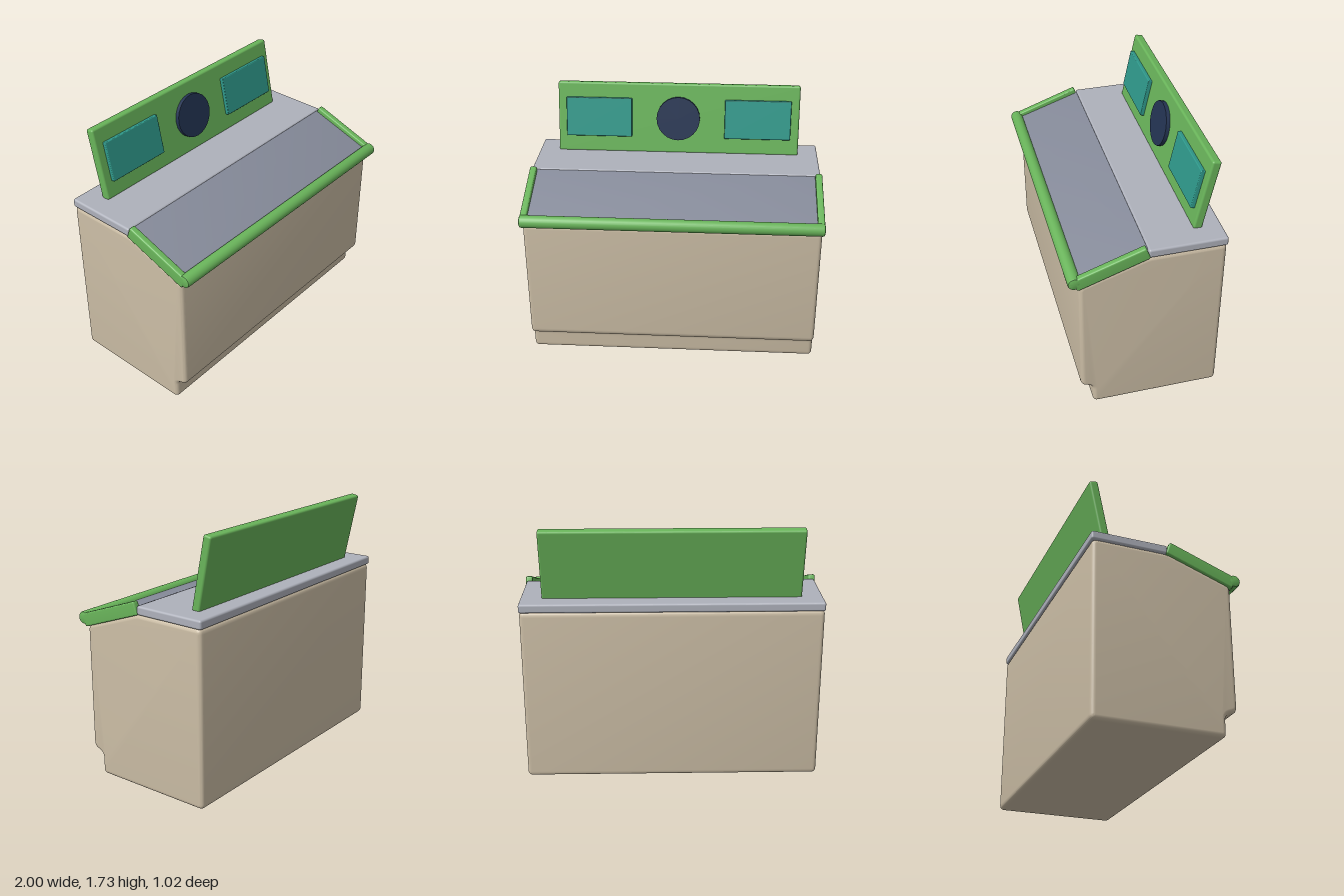
import * as THREE from 'three';
import { toCreasedNormals } from 'three/addons/utils/BufferGeometryUtils.js';
import { RoundedBoxGeometry } from 'three/addons/geometries/RoundedBoxGeometry.js';

const material = (name, color) => {
  const m = new THREE.MeshStandardMaterial({ color });
  m.name = name;
  return m;
};

// Side profile of [z, y] corners, rounded by r and extruded across x with soft edges
function prism(corners, width, r) {
  const pts = corners.map(([z, y]) => new THREE.Vector2(z, y));
  const shape = new THREE.Shape();
  pts.forEach((p, i) => {
    const prev = pts[(i + pts.length - 1) % pts.length];
    const next = pts[(i + 1) % pts.length];
    const a = p.clone().add(prev.clone().sub(p).setLength(r));
    const b = p.clone().add(next.clone().sub(p).setLength(r));
    if (i === 0) shape.moveTo(a.x, a.y);
    else shape.lineTo(a.x, a.y);
    shape.quadraticCurveTo(p.x, p.y, b.x, b.y);
  });
  shape.closePath();
  const bevel = r * 0.8;
  const depth = width - 2 * bevel;
  const geo = new THREE.ExtrudeGeometry(shape, {
    depth, curveSegments: 6, bevelEnabled: true, bevelSegments: 6,
    bevelSize: bevel, bevelThickness: bevel, bevelOffset: -bevel,
  });
  geo.translate(0, 0, -depth / 2);
  geo.rotateY(-Math.PI / 2);
  return toCreasedNormals(geo, 0.32);
}

export function createModel() {
  const root = new THREE.Group();
  root.name = 'controlConsole';
  const beige = material('beige', 0xcbbda5);
  const lightGrey = material('lightGrey', 0xaeb1bb);
  const slate = material('slate', 0x858a99);
  const green = material('green', 0x69b45a);
  const teal = material('teal', 0x2f998b);
  const navy = material('navy', 0x233352);

  const add = (parent, name, geo, mat, x = 0, y = 0, z = 0) => {
    const mesh = new THREE.Mesh(geo, mat);
    mesh.name = name;
    mesh.position.set(x, y, z);
    parent.add(mesh);
    return mesh;
  };

  // Cabinet with a toe recess and a sloping front top
  add(root, 'cabinet', prism([
    [-0.505, 0], [0.357, 0], [0.357, 0.15], [0.437, 0.175],
    [0.437, 1.04], [0, 1.192], [-0.505, 1.192],
  ], 1.98, 0.036), beige);

  // Flat worktop behind the sloping panel
  add(root, 'worktop', new RoundedBoxGeometry(1.985, 0.06, 0.51, 3, 0.014), lightGrey, 0, 1.218, -0.255);
  add(root, 'slopedPanel', prism([
    [0, 1.185], [0.45, 1.03], [0.465, 1.085], [0, 1.244],
  ], 1.92, 0.006), slate);

  // Side rails and rounded front bar framing the panel
  const railGeo = prism([
    [-0.012, 1.19], [0.447, 1.025], [0.479, 1.108], [0.018, 1.274],
  ], 0.046, 0.014);
  for (const [side, name] of [[1, 'leftRail'], [-1, 'rightRail']]) {
    add(root, name, railGeo, green, side * 0.977);
  }
  const barProfile = [
    [0, -1], [0.03, -1], [0.039, -0.996], [0.042, -0.986],
    [0.042, 0.986], [0.039, 0.996], [0.03, 1], [0, 1],
  ].map(([r, y]) => new THREE.Vector2(r, y));
  const barGeo = toCreasedNormals(new THREE.LatheGeometry(barProfile, 24), 0.6);
  barGeo.rotateZ(Math.PI / 2);
  add(root, 'frontBar', barGeo, green, 0, 1.083, 0.465);

  // Leaning display board
  const board = new THREE.Group();
  board.name = 'displayBoard';
  board.position.set(0, 1.25, -0.355);
  board.rotation.x = -0.2;
  root.add(board);
  add(board, 'backboard', new RoundedBoxGeometry(1.705, 0.495, 0.06, 3, 0.014), green, 0, 0.235, 0);
  for (const [side, name] of [[1, 'leftScreen'], [-1, 'rightScreen']]) {
    add(board, name, new RoundedBoxGeometry(0.465, 0.275, 0.03, 2, 0.006), teal, side * 0.56, 0.24, 0.042);
  }
  const dialGeo = new THREE.CylinderGeometry(0.153, 0.153, 0.03, 24);
  dialGeo.rotateX(Math.PI / 2);
  add(board, 'dial', dialGeo, navy, 0, 0.238, 0.042);

  return root;
}
